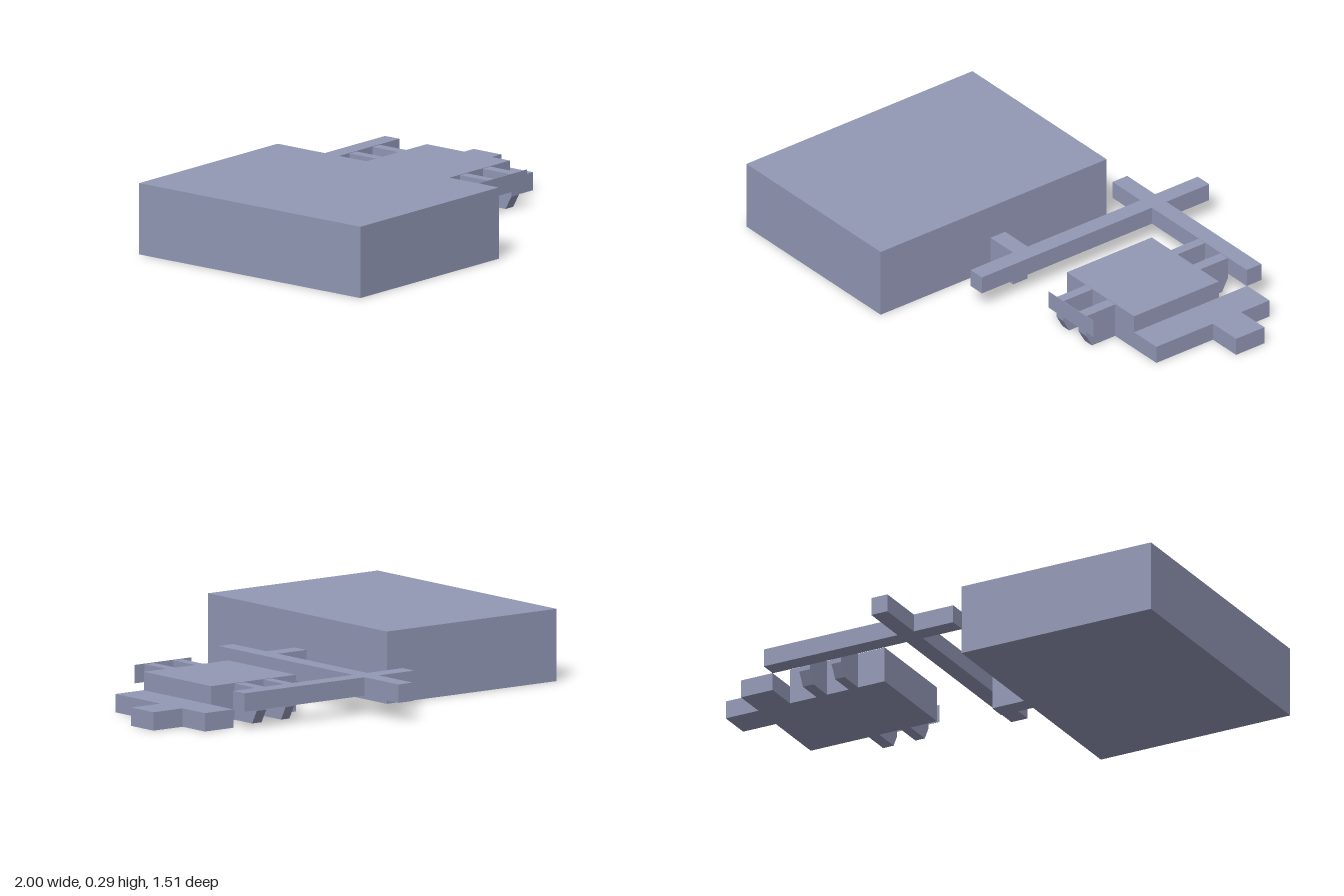
import * as THREE from 'three';

export function createModel() {
  const group = new THREE.Group();
  const slate = new THREE.MeshStandardMaterial({ color: 0x9297b5 });
  slate.name = 'slateBlue';
  slate.side = THREE.DoubleSide;

  function add(name, geometry) {
    const mesh = new THREE.Mesh(geometry, slate);
    mesh.name = name;
    group.add(mesh);
    return mesh;
  }
  // box given by its limits on each axis
  function block(name, x0, x1, y0, y1, z0, z1) {
    add(name, new THREE.BoxGeometry(x1 - x0, y1 - y0, z1 - z0))
      .position.set((x0 + x1) / 2, (y0 + y1) / 2, (z0 + z1) / 2);
  }
  // strut running along z with its lower outer edge cut off
  function strut(name, x0, x1, zInner, zOuter) {
    const cut = zOuter - Math.sign(zOuter - zInner) * 0.03;
    const side = new THREE.Shape([
      [-zInner, 0], [-cut, 0], [-zOuter, 0.055], [-zOuter, 0.148], [-zInner, 0.148],
    ].map(([a, b]) => new THREE.Vector2(a, b)));
    const geometry = new THREE.ExtrudeGeometry(side, { depth: x1 - x0, bevelEnabled: false });
    geometry.rotateY(Math.PI / 2);
    geometry.translate(x0, 0, 0);
    add(name, geometry);
  }

  // large hall and its link to the walkway
  block('mainHall', -1, -0.13, 0, 0.295, -0.405, 0.753);
  block('hallLink', -0.13, 0.016, 0, 0.15, 0.115, 0.19);

  // raised crossing walkways
  block('longWalkway', 0.016, 0.09, 0.075, 0.15, -0.757, 0.408);
  block('crossWalkwayWest', -0.165, 0.016, 0.075, 0.15, -0.538, -0.463);
  block('crossWalkwayEast', 0.09, 0.705, 0.075, 0.15, -0.538, -0.463);

  // smaller building with its low wing and tab
  block('smallHall', 0.27, 0.705, 0, 0.15, -0.32, 0.115);
  block('lowWing', 0.705, 0.85, 0, 0.075, -0.465, 0.115);
  block('wingTab', 0.85, 1, 0, 0.075, -0.32, -0.175);

  // paired struts on both ends of the small building
  for (const [x0, x1] of [[0.392, 0.435], [0.535, 0.583]]) {
    strut('frontStrut', x0, x1, 0.115, 0.264);
    strut('backStrut', x0, x1, -0.32, -0.463);
  }

  // thin panel across the front struts
  block('frontPanel', 0.342, 0.632, 0.075, 0.15, 0.264, 0.266);

  return group;
}
